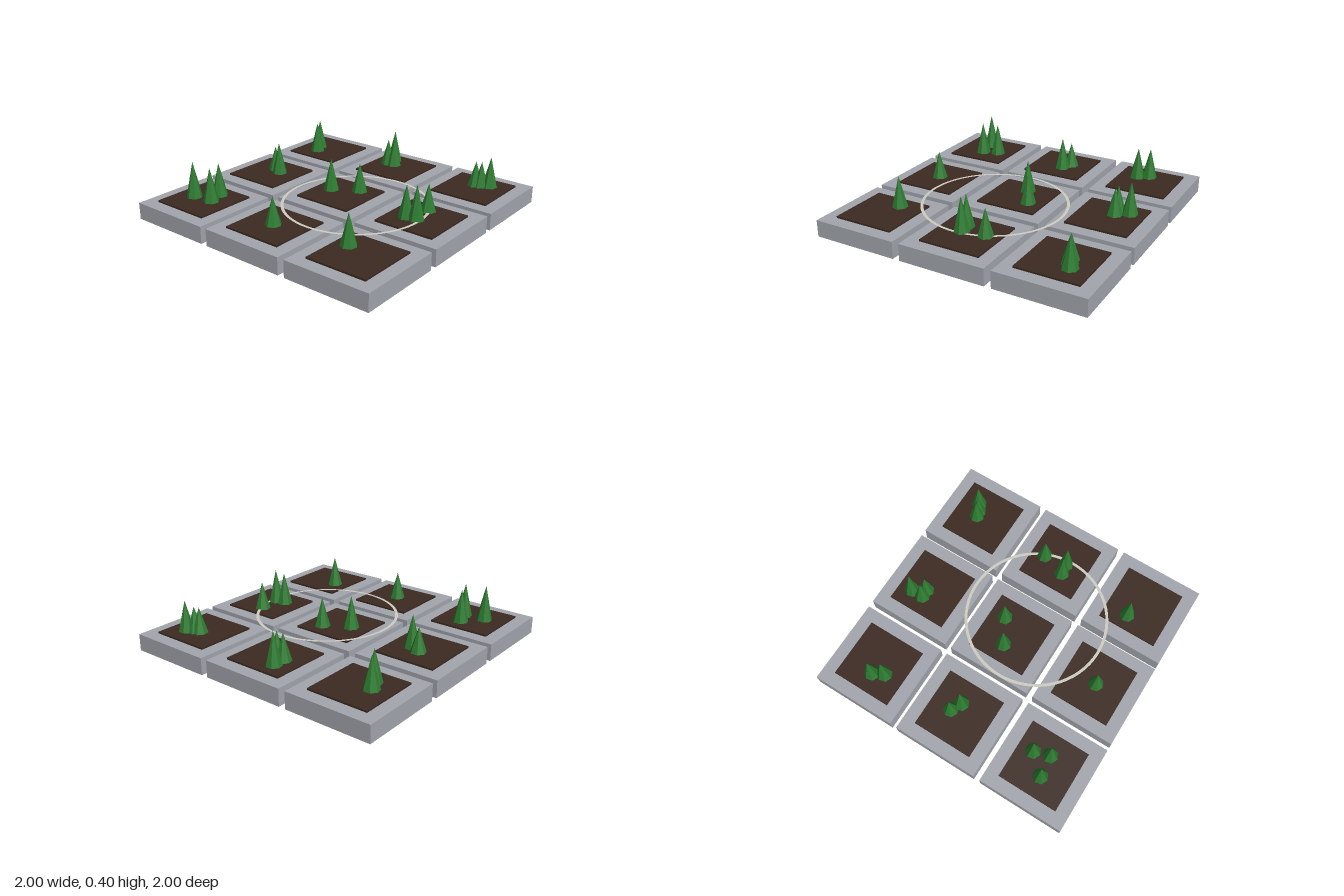
import * as THREE from 'three';

const mat = (name, color, extra = {}) => {
  const m = new THREE.MeshStandardMaterial({ color, ...extra });
  m.name = name;
  return m;
};

export function createModel() {
  const model = new THREE.Group();
  model.name = 'planterGrid';
  const stone = mat('stone', 0xa3a6ae);
  const soilMat = mat('soil', 0x3c2a21);
  const leaf = mat('leaf', 0x2e7d32, { flatShading: true });
  const pale = mat('paleRing', 0xd0cdc2);

  const add = (name, geometry, material, x, y, z) => {
    const mesh = new THREE.Mesh(geometry, material);
    mesh.name = name;
    mesh.position.set(x, y, z);
    model.add(mesh);
    return mesh;
  };

  // Nine stone slabs, each with a raised bed of soil
  const pitch = 0.683;
  const slabGeo = new THREE.BoxGeometry(0.633, 0.122, 0.633);
  const soilGeo = new THREE.BoxGeometry(0.445, 0.014, 0.445);
  for (let i = -1; i <= 1; i++) {
    for (let k = -1; k <= 1; k++) {
      add('slab', slabGeo, stone, i * pitch, 0.061, k * pitch);
      add('soilBed', soilGeo, soilMat, i * pitch, 0.128, k * pitch);
    }
  }

  // Conical shrubs: x, z, height of the tip
  const shrubs = [
    [-0.77, -0.68, 0.36], [-0.73, -0.6, 0.365],
    [-0.095, -0.8, 0.375], [-0.095, -0.71, 0.33], [-0.04, -0.71, 0.33],
    [0.67, -0.73, 0.32], [0.71, -0.74, 0.32], [0.765, -0.77, 0.36],
    [-0.695, -0.065, 0.315], [-0.62, -0.025, 0.37],
    [-0.097, -0.01, 0.37], [0.083, -0.11, 0.345],
    [0.657, -0.12, 0.335], [0.6, 0.06, 0.37], [0.675, 0.05, 0.385],
    [-0.64, 0.57, 0.375], [-0.76, 0.7, 0.395], [-0.605, 0.685, 0.38],
    [-0.003, 0.695, 0.335], [0.568, 0.63, 0.36],
  ];
  const base = 0.13;
  const coneGeo = new THREE.ConeGeometry(0.058, 1, 7).translate(0, 0.5, 0);
  for (const [x, z, tip] of shrubs) {
    add('shrub', coneGeo, leaf, x, base, z).scale.y = tip - base;
  }

  // Flat ring lying just above the beds, facing up
  const ringGeo = new THREE.RingGeometry(0.499, 0.52, 64).rotateX(-Math.PI / 2);
  add('groundRing', ringGeo, pale, 0.2, 0.14, 0.085);

  return model;
}
